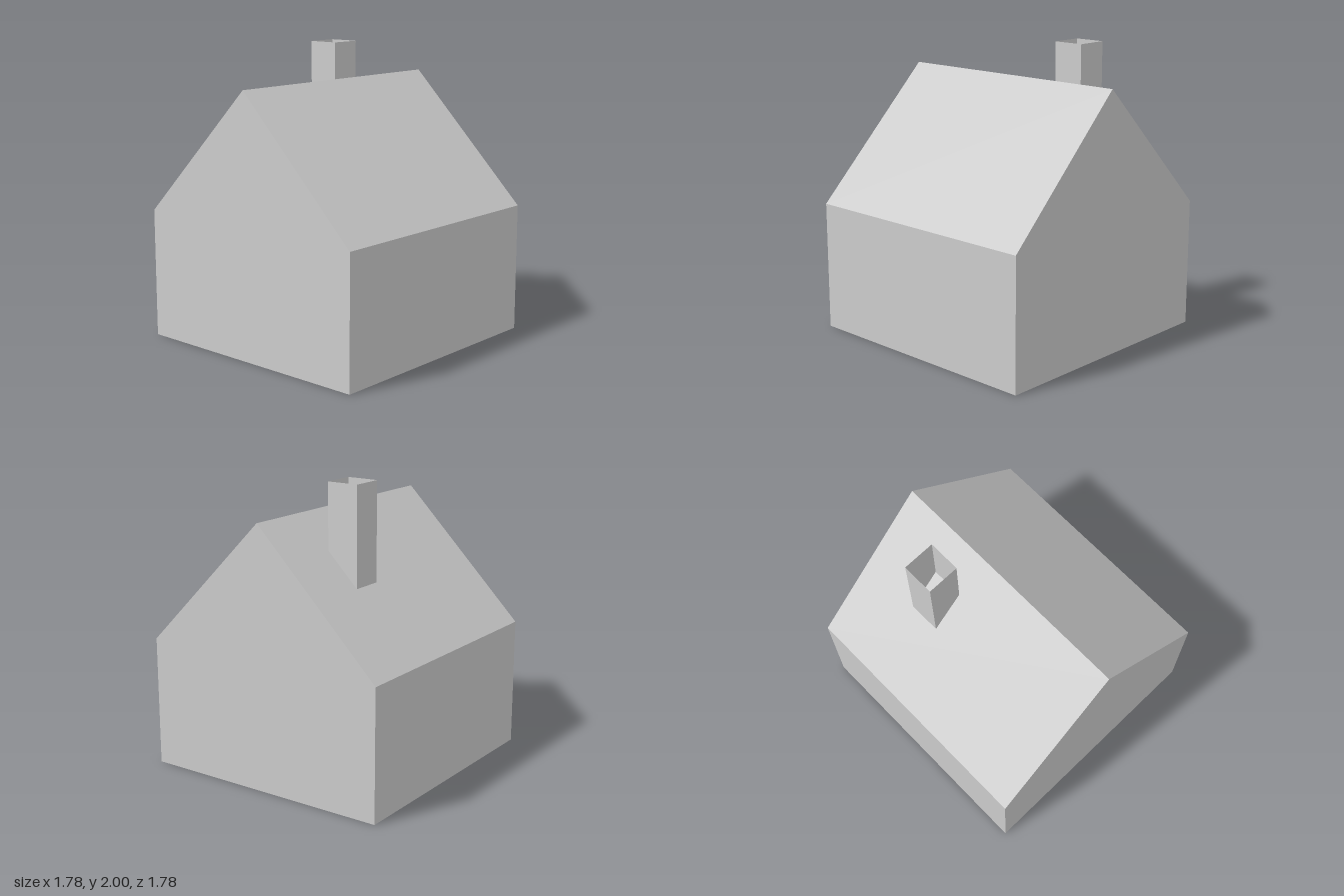
import * as THREE from 'three';

const U = 2 / 9;          // base unit: house is 8 x 8 units, chimney 1 x 1
const HALF = 4 * U;       // half width, also eaves height
const RIDGE = 8 * U;      // ridge height
const TOP = 9 * U;        // chimney height

// Walls, floor and 45 degree gable roof as one extruded profile
function makeHouse(material) {
  const gable = new THREE.Shape([
    new THREE.Vector2(-HALF, 0),
    new THREE.Vector2(HALF, 0),
    new THREE.Vector2(HALF, HALF),
    new THREE.Vector2(0, RIDGE),
    new THREE.Vector2(-HALF, HALF),
  ]);
  const geometry = new THREE.ExtrudeGeometry(gable, { depth: 2 * HALF, bevelEnabled: false });
  geometry.translate(0, 0, -HALF).rotateY(Math.PI / 2);
  const house = new THREE.Mesh(geometry, material);
  house.name = 'house';
  return house;
}

// Open square flue whose lower edge follows the rear roof slope
function makeChimney(material) {
  const r = U / Math.SQRT2;
  const geometry = new THREE.CylinderGeometry(r, r, 1, 4, 1, true);
  geometry.rotateY(Math.PI / 4).translate(1.5 * U, 0, -1.5 * U);
  const p = geometry.attributes.position;
  for (let i = 0; i < p.count; i++) {
    p.setY(i, p.getY(i) > 0 ? TOP : RIDGE - Math.abs(p.getZ(i)));
  }
  const flat = geometry.toNonIndexed();
  flat.computeVertexNormals();
  const chimney = new THREE.Mesh(flat, material);
  chimney.name = 'chimney';
  return chimney;
}

export function createModel() {
  const solid = new THREE.MeshStandardMaterial({ color: 0xcccccc, flatShading: true });
  const open = new THREE.MeshStandardMaterial({ color: 0xcccccc, flatShading: true, side: THREE.DoubleSide });
  const group = new THREE.Group();
  group.name = 'gabledHouse';
  group.add(makeHouse(solid), makeChimney(open));
  return group;
}
